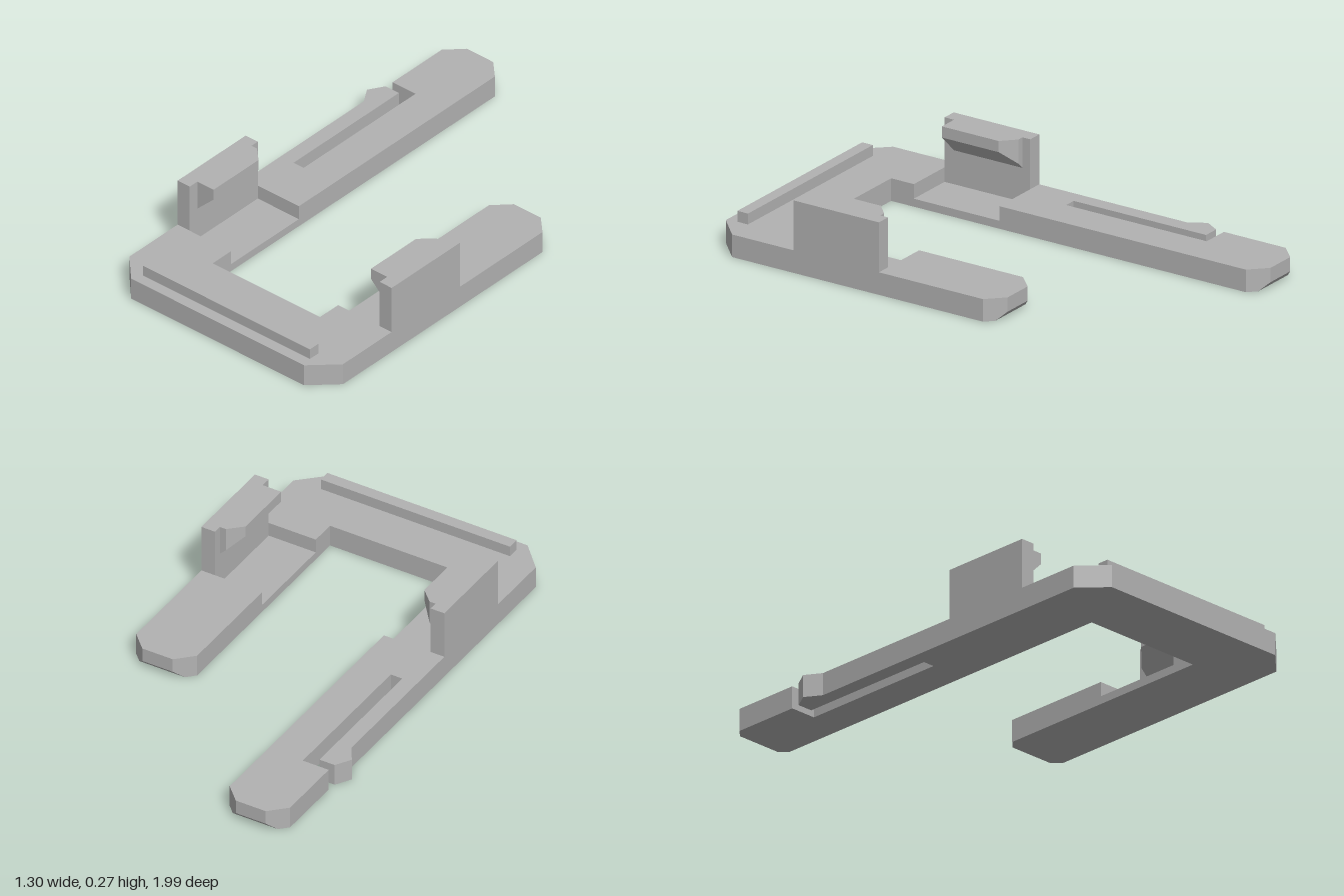
import * as THREE from 'three';
import { ConvexGeometry } from 'three/addons/geometries/ConvexGeometry.js';

// Plan coordinates: u runs along the crossbar, v along the arms towards the back.
const FLOOR = 0.03, TOP = 0.085, BAR_TOP = 0.126, WALL_TOP = 0.273;
const L0 = -0.404, L1 = -0.158, R0 = 0.338, R1 = 0.586; // arm edges in u
const LEFT_END = 0.88, RIGHT_END = 0.278;               // where the tips begin
const CLAMP0 = -0.524, CLAMP1 = -0.162;                 // clamp span in v
const FRONT = -0.877, INNER = -0.62;                    // crossbar edges in v

export function createModel() {
  const grey = new THREE.MeshStandardMaterial({ color: 0xb2b2b2 });
  grey.name = 'grey plastic';
  const model = new THREE.Group();
  model.name = 'clipFrame';

  const add = (name, geometry) => {
    const mesh = new THREE.Mesh(geometry, grey);
    mesh.name = name;
    model.add(mesh);
  };
  // Upright prism over a plan outline
  const prism = (outline, y0, y1) => {
    const shape = new THREE.Shape(outline.map(p => new THREE.Vector2(...p)));
    return new THREE.ExtrudeGeometry(shape, { depth: y1 - y0, bevelEnabled: false })
      .rotateX(-Math.PI / 2).translate(0, y0, 0);
  };
  const rect = (u0, u1, v0, v1) => [[u0, v0], [u1, v0], [u1, v1], [u0, v1]];

  // Left arm outline, with the slot and the sprung catch
  const leftArm = [
    [L1, LEFT_END], [L0, LEFT_END], [L0, 0.619], [-0.298, 0.619], [-0.298, 0.024],
    [-0.345, 0.024], [-0.345, 0.584], [-0.407, 0.584], [-0.442, 0.526], [L0, 0.466],
  ];
  // Crossbar outline with cut outer corners
  const outerFront = [[L0, -0.78], [-0.312, FRONT], [0.488, FRONT], [R1, -0.783]];

  // Lower plate
  add('lowerPlate', prism([
    ...outerFront, [R1, RIGHT_END], [R0, RIGHT_END], [R0, INNER], [L1, INNER], ...leftArm,
  ], 0, FLOOR));

  // Upper layer, left open where the clamps sit
  add('crossbar', prism([
    ...outerFront, [R1, CLAMP0], [R0, CLAMP0], [R0, INNER], [L1, INNER], [L1, CLAMP0], [L0, CLAMP0],
  ], FLOOR, TOP));
  add('leftArm', prism([[L0, CLAMP1], [L1, CLAMP1], ...leftArm], FLOOR, TOP));
  add('rightArm', prism(rect(R0, R1, CLAMP1, RIGHT_END), FLOOR, TOP));

  // Arm tips: cut corners and a bevel below
  const tip = (name, u0, u1, v) => {
    const pts = [];
    for (const [u, s] of [[u0, 1], [u1, -1]]) {
      pts.push([u, 0, v], [u, TOP, v], [u + s * 0.031, 0, v + 0.031],
        [u + s * 0.062, 0.031, v + 0.062], [u + s * 0.062, TOP, v + 0.062]);
    }
    add(name, new ConvexGeometry(pts.map(([u, y, w]) => new THREE.Vector3(u, y, -w))));
  };
  tip('leftArmTip', L0, L1, LEFT_END);
  tip('rightArmTip', R0, R1, RIGHT_END);

  // Raised rib along the front
  add('frontRib', prism(rect(-0.293, 0.478, -0.835, -0.79), TOP, BAR_TOP));

  // Clamps: outer wall with an inward hook whose underside slopes
  const clamp = (side, edge, s) => {
    const at = d => edge + s * d;
    const order = pts => (s > 0 ? pts : pts.reverse());
    add(side + 'ClampWall', prism(order(rect(at(0), at(0.056), CLAMP0, CLAMP1)), FLOOR, WALL_TOP));
    const hook = prism(order([
      [at(0.056), -0.484], [at(0.131), -0.484], [at(0.131), -0.244],
      [at(0.08), -0.195], [at(0.056), -0.195],
    ]), 0, WALL_TOP);
    const pos = hook.attributes.position;
    for (let i = 0; i < pos.count; i++) {
      if (pos.getY(i) > 0.1) continue;
      const d = Math.abs(pos.getX(i) - edge) - 0.056;
      pos.setY(i, 0.158 + 0.073 * d / 0.075);
    }
    hook.computeVertexNormals();
    add(side + 'ClampHook', hook);
  };
  clamp('left', L0, 1);
  clamp('right', R1, -1);

  // The frame lies turned on the ground
  model.rotation.y = THREE.MathUtils.degToRad(-20.5);
  const group = new THREE.Group();
  group.add(model);
  return group;
}
